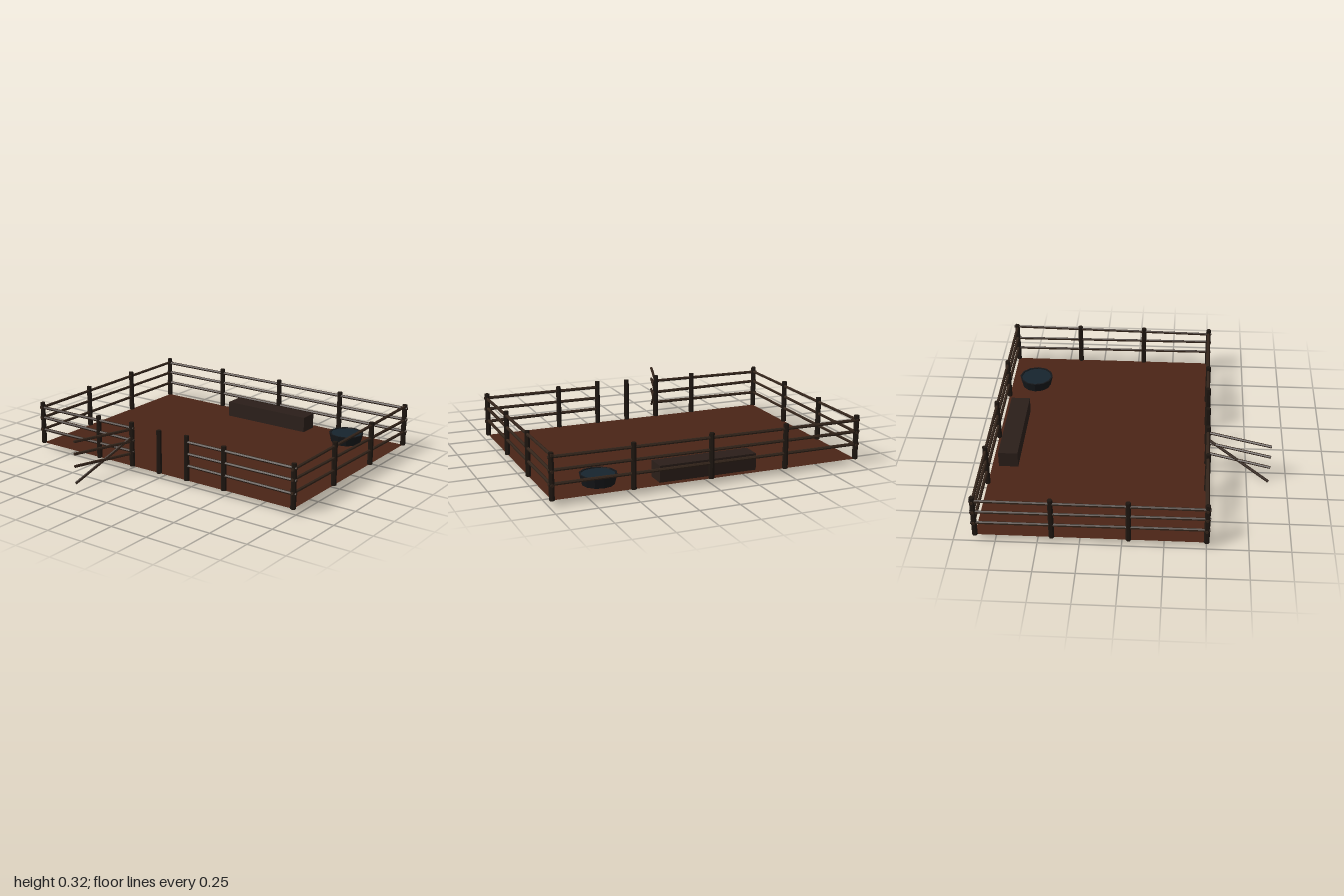
import * as THREE from 'three';

const mat = (color, extra = {}) => {
  const m = new THREE.MeshStandardMaterial({ color, flatShading: true, ...extra });
  return m;
};

export function createModel() {
  const root = new THREE.Group();
  root.name = 'paddock';
  const soil = mat(0x4a2416, { side: THREE.DoubleSide });
  const postWood = mat(0x1e1610);
  const railWood = mat(0x33241a);
  const troughWood = mat(0x2a1e19);
  const tubMetal = mat(0x15171a, { side: THREE.DoubleSide });
  const water = mat(0x16242e);

  const X = 0.98, BACK = -0.87, FRONT = 0.5, FLOOR = 0.035;

  const add = (name, geometry, material, parent = root) => {
    const mesh = new THREE.Mesh(geometry, material);
    mesh.name = name;
    parent.add(mesh);
    return mesh;
  };

  // Round bar between two points
  const bar = (name, a, b, r, parent) => {
    const from = new THREE.Vector3(...a), to = new THREE.Vector3(...b);
    const dir = to.clone().sub(from);
    const mesh = add(name, new THREE.CylinderGeometry(r, r, dir.length(), 6), railWood, parent);
    mesh.position.copy(from).add(to).multiplyScalar(0.5);
    mesh.quaternion.setFromUnitVectors(new THREE.Vector3(0, 1, 0), dir.normalize());
  };

  const post = (x, z, h = 0.28) => {
    const mesh = add('fencePost', new THREE.CylinderGeometry(0.016, 0.017, h, 6), postWood);
    mesh.position.set(x, FLOOR + h / 2, z);
  };

  // Three slightly uneven rails from one ground point to another
  const rails = (name, [x0, z0], [x1, z1], heights) => {
    const group = new THREE.Group();
    group.name = name;
    root.add(group);
    for (const [y0, y1] of heights) bar('rail', [x0, y0, z0], [x1, y1, z1], 0.01, group);
  };

  // Ground sheet
  const ground = add('ground', new THREE.PlaneGeometry(2 * X, FRONT - BACK), soil);
  ground.rotation.x = -Math.PI / 2;
  ground.position.set(0, FLOOR, (FRONT + BACK) / 2);

  // Posts along the back, front and sides
  for (const x of [-X, -0.49, 0, 0.49, X]) {
    post(x, BACK);
    post(x, FRONT);
  }
  for (const x of [-X, X]) for (const z of [-0.415, 0.04]) post(x, z);
  for (const x of [-0.217, 0.213]) post(x, FRONT, 0.29);

  // Fence rails, with an opening at the front
  const e = 0.02;
  rails('backRails', [-X - e, BACK], [X + e, BACK], [[0.13, 0.13], [0.21, 0.212], [0.282, 0.29]]);
  rails('frontRightRails', [-X - e, FRONT], [-0.2, FRONT], [[0.128, 0.134], [0.212, 0.206], [0.28, 0.288]]);
  rails('frontLeftRails', [0.2, FRONT], [X + e, FRONT], [[0.132, 0.128], [0.208, 0.212], [0.284, 0.287]]);
  rails('leftRails', [X, FRONT + e], [X, BACK - e], [[0.135, 0.125], [0.217, 0.205], [0.28, 0.302]]);
  rails('rightRails', [-X, FRONT + e], [-X, BACK - e], [[0.13, 0.126], [0.212, 0.206], [0.282, 0.286]]);

  // Open gate with a sagging brace
  const gate = new THREE.Group();
  gate.name = 'gate';
  root.add(gate);
  for (const y of [0.12, 0.2, 0.28]) bar('gateRail', [-0.217, y, FRONT], [-0.347, y, 0.892], 0.009, gate);
  bar('gateBrace', [-0.217, 0.228, FRONT], [-0.347, 0.009, 0.887], 0.009, gate);

  // Feed trough
  const trough = add('feedTrough', new THREE.BoxGeometry(0.626, 0.103, 0.124), troughWood);
  trough.position.set(-0.002, FLOOR + 0.0515, -0.765);

  // Round water tub
  const tub = new THREE.Group();
  tub.name = 'waterTub';
  tub.position.set(0.645, FLOOR, -0.7);
  root.add(tub);
  add('tubWall', new THREE.LatheGeometry(
    [[0, 0.001], [0.098, 0.001], [0.114, 0.066], [0.103, 0.066], [0.101, 0.054]]
      .map(p => new THREE.Vector2(...p)), 12), tubMetal, tub);
  const surface = add('water', new THREE.CylinderGeometry(0.102, 0.102, 0.004, 12), water, tub);
  surface.position.y = 0.059;

  return root;
}
